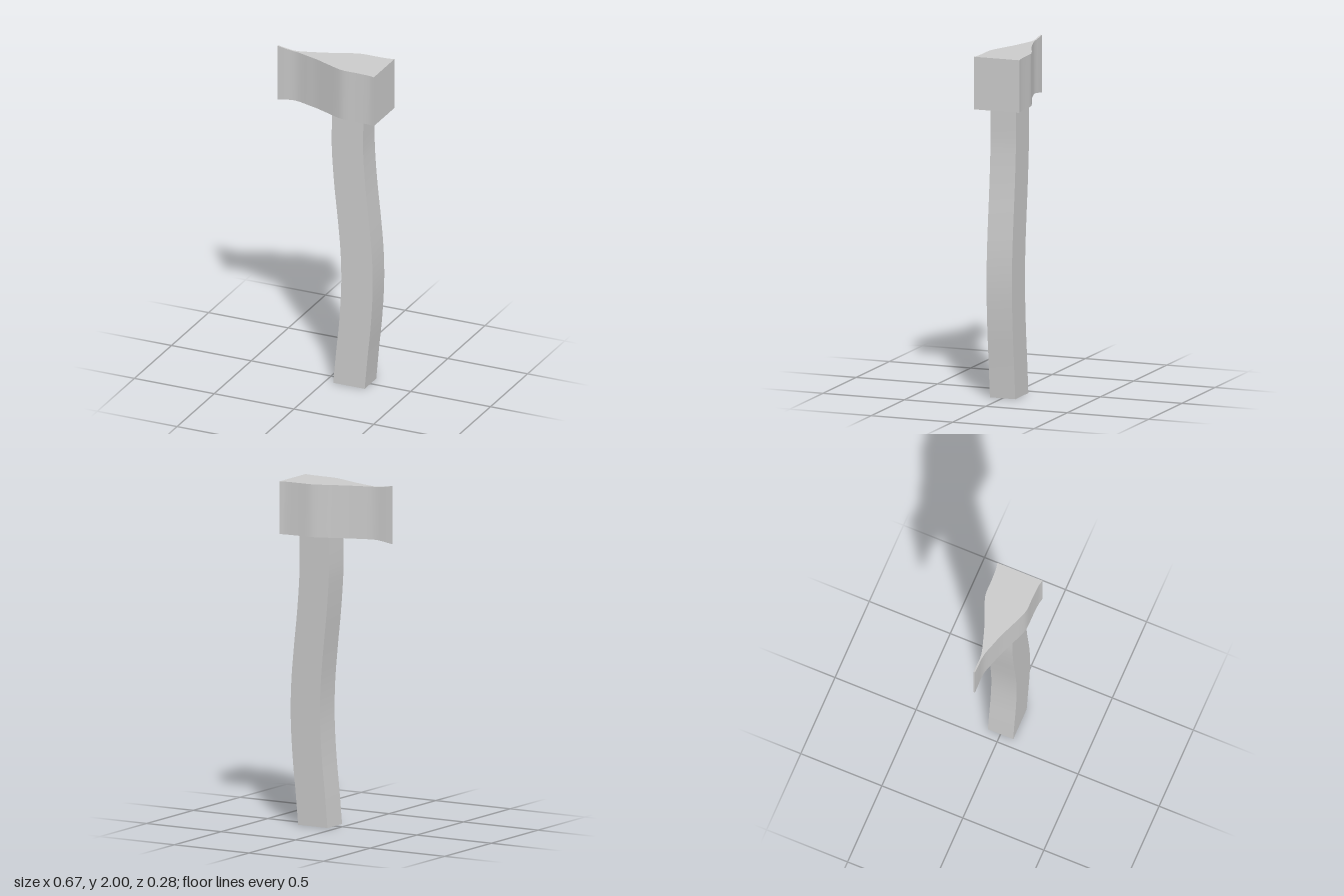
import * as THREE from 'three';

const material = () => new THREE.MeshStandardMaterial({ color: 0xcccccc });

// Wedge-shaped head: a box whose sections follow (x, half depth, half height) along x
function makeHead() {
  const sections = new THREE.CatmullRomCurve3([
    [-0.333, 0.004, 0.1675], [-0.29, 0.005, 0.16], [-0.24, 0.005, 0.1535], [-0.2, 0.01, 0.1525],
    [-0.13, 0.031, 0.1525], [-0.07, 0.05, 0.1525], [0, 0.078, 0.1525], [0.1, 0.118, 0.1525],
    [0.14, 0.127, 0.1525], [0.22, 0.128, 0.1525], [0.3, 0.132, 0.1525], [0.333, 0.139, 0.1525],
  ].map((p) => new THREE.Vector3(...p)));
  const geometry = new THREE.BoxGeometry(1, 2, 2, 44, 1, 1);
  const pos = geometry.attributes.position;
  for (let i = 0; i < pos.count; i++) {
    const s = sections.getPoint(THREE.MathUtils.clamp(pos.getX(i) + 0.5, 0, 1));
    pos.setXYZ(i, s.x, 1.8325 + pos.getY(i) * s.z, pos.getZ(i) * s.y);
  }
  geometry.computeVertexNormals();
  const mesh = new THREE.Mesh(geometry, material());
  mesh.name = 'axeHead';
  return mesh;
}

// Curved handle: a box whose centre line sways in x as it rises
function makeHandle() {
  const centreLine = new THREE.SplineCurve([
    [0.149, 0], [0.167, 0.2], [0.187, 0.4], [0.199, 0.62], [0.195, 0.82], [0.178, 1.02],
    [0.157, 1.22], [0.143, 1.4], [0.139, 1.52], [0.142, 1.7],
  ].map((p) => new THREE.Vector2(...p)));
  const geometry = new THREE.BoxGeometry(0.197, 1, 0.156, 1, 36, 1);
  const pos = geometry.attributes.position;
  for (let i = 0; i < pos.count; i++) {
    const c = centreLine.getPoint(THREE.MathUtils.clamp(pos.getY(i) + 0.5, 0, 1));
    pos.setXY(i, c.x + pos.getX(i), c.y);
  }
  geometry.computeVertexNormals();
  const mesh = new THREE.Mesh(geometry, material());
  mesh.name = 'handle';
  return mesh;
}

export function createModel() {
  const group = new THREE.Group();
  group.name = 'axe';
  group.add(makeHead(), makeHandle());
  return group;
}
